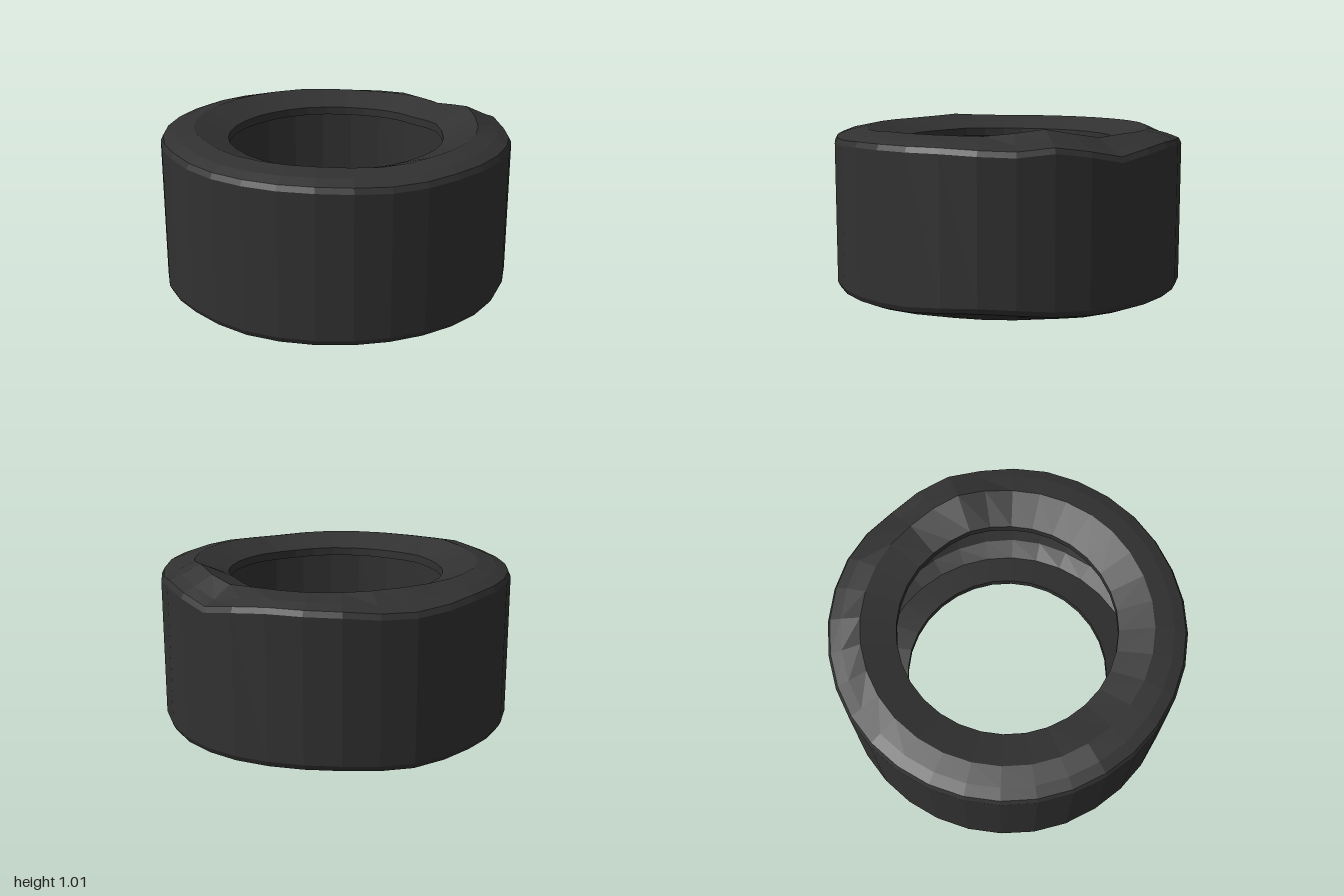
import * as THREE from 'three';

const SEGMENTS = 32;

// Smooth bump around the ring, centred on an angle in degrees
// (0 = front, 90 = +x), zero beyond its width.
function bump(deg, centre, width, height) {
  const d = Math.abs(((deg - centre + 540) % 360) - 180);
  return d < width ? height * 0.5 * (1 + Math.cos(Math.PI * d / width)) : 0;
}

// Uneven sagging of the upper and lower sidewalls
function topOffset(deg, r) {
  const crest = bump(deg, 123, 20, 0.035) + bump(deg, 146, 18, -0.018)
    + bump(deg, 37, 25, -0.012) + bump(deg, 315, 18, 0.013) + bump(deg, 180, 40, -0.012);
  if (r < 0.7) return crest * 0.4;
  if (r < 0.85) return crest;
  return crest + bump(deg, 213, 30, -0.04) + bump(deg, 146, 22, -0.04) + bump(deg, 118, 25, -0.035);
}
function bottomOffset(deg, r) {
  const crest = bump(deg, 326, 24, 0.032) + bump(deg, 300, 22, -0.014)
    + bump(deg, 214, 24, 0.03) + bump(deg, 180, 35, 0.008);
  if (r < 0.7) return crest * 0.4;
  if (r < 0.85) return crest;
  return crest + bump(deg, 102, 32, 0.028) + bump(deg, 326, 24, -0.02) + bump(deg, 214, 24, -0.045);
}

export function createModel() {
  const group = new THREE.Group();
  group.name = 'tyre';

  // Upper half of the hollow cross-section: tread edge, sidewall,
  // bead lip, then back outward along the inside to the tread
  const outside = [
    [1.0, 0.9], [0.985, 0.93], [0.92, 0.955], [0.81, 0.977], [0.617, 0.905],
  ];
  const inside = [[0.617, 0.858], [0.81, 0.925], [0.91, 0.89], [0.95, 0.82]];
  const upper = [...outside, ...inside];
  const lower = upper.map(([r, y]) => [r, 0.995 - y]).reverse();
  const profile = [...upper, ...lower, upper[0]].map(([r, y]) => new THREE.Vector2(r, y));

  const geometry = new THREE.LatheGeometry(profile, SEGMENTS);
  const pos = geometry.attributes.position;
  for (let i = 0; i < pos.count; i++) {
    const x = pos.getX(i), y = pos.getY(i), z = pos.getZ(i);
    const deg = (THREE.MathUtils.radToDeg(Math.atan2(x, z)) + 360) % 360;
    const r = Math.hypot(x, z);
    pos.setY(i, y + (y > 0.5 ? topOffset(deg, r) : bottomOffset(deg, r)));
  }
  geometry.computeVertexNormals();

  const rubber = new THREE.MeshStandardMaterial({ color: 0x313131, flatShading: true });
  const tyre = new THREE.Mesh(geometry, rubber);
  tyre.name = 'tyreRing';
  group.add(tyre);
  return group;
}
